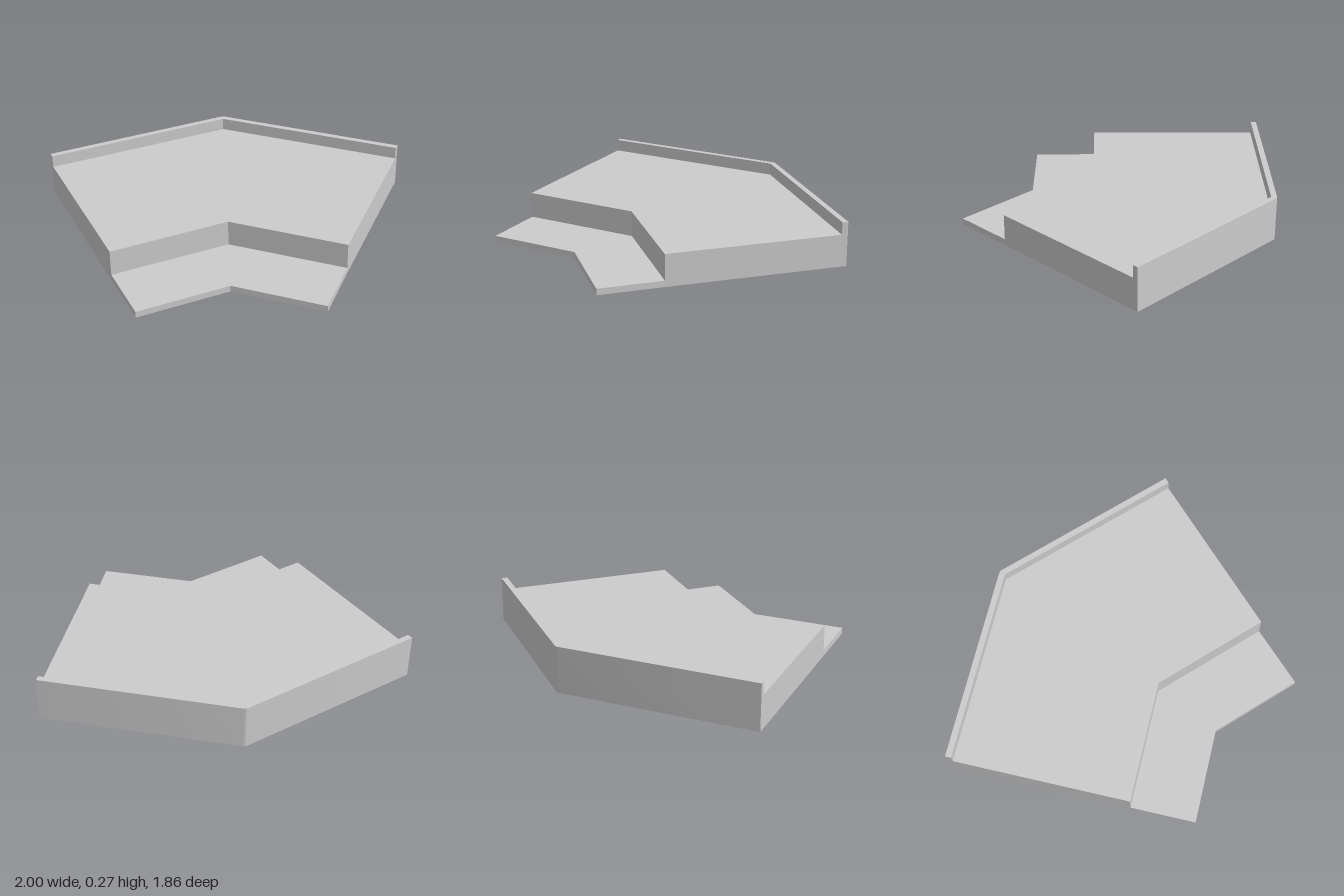
import * as THREE from 'three';
import { toCreasedNormals } from 'three/addons/utils/BufferGeometryUtils.js';

const ARC = 6; // segments in the rounded back corner

// A rail is a bent line in plan: [x, z] at the left end, around the corner, at the right end
function rail(left, corner, right, radius = 0) {
  const points = [left];
  for (let i = 0; i <= ARC; i++) {
    const a = (i / ARC) * Math.PI / 4;
    points.push([corner[0] + radius * Math.sin(a), corner[1] - radius * Math.cos(a)]);
  }
  points.push(right);
  return points;
}

const back = rail([-1, -0.932], [0.155, -0.897], [1, -0.102], 0.035);
const curbFront = rail([-1, -0.897], [0.155, -0.897], [0.974, -0.078]);
const deckFront = rail([-1, 0.145], [-0.277, 0.145], [0.234, 0.656]);
const stepFront = rail([-1, 0.53], [-0.437, 0.53], [-0.037, 0.93]);

export function createModel() {
  const group = new THREE.Group();
  const material = new THREE.MeshStandardMaterial({ color: 0xcccccc });

  // One level between two rails: top, underside, front riser and both ends
  function addLevel(name, rear, front, height, nextHeight, hasBackWall) {
    const positions = [];
    const triangle = (a, b, c) => {
      if (a.equals(b) || b.equals(c) || c.equals(a)) return;
      for (const p of [a, b, c]) positions.push(p.x, p.y, p.z);
    };
    const quad = (a, b, c, d) => { triangle(a, b, c); triangle(a, c, d); };
    const at = (line, i, y) => new THREE.Vector3(line[i][0], y, line[i][1]);
    const strip = (a, ya, b, yb) => {
      for (let i = 0; i < a.length - 1; i++) {
        quad(at(a, i, ya), at(b, i, yb), at(b, i + 1, yb), at(a, i + 1, ya));
      }
    };
    const section = i => [at(rear, i, 0), at(rear, i, height), at(front, i, height), at(front, i, 0)];

    strip(rear, height, front, height);
    strip(front, height, front, nextHeight);
    strip(front, 0, rear, 0);
    if (hasBackWall) strip(rear, 0, rear, height);
    quad(...section(0).reverse());
    quad(...section(rear.length - 1));

    const geometry = new THREE.BufferGeometry();
    geometry.setAttribute('position', new THREE.Float32BufferAttribute(positions, 3));
    const mesh = new THREE.Mesh(toCreasedNormals(geometry, 0.3), material);
    mesh.name = name;
    group.add(mesh);
  }

  addLevel('backCurb', back, curbFront, 0.27, 0.195, true);
  addLevel('deck', curbFront, deckFront, 0.195, 0.038, false);
  addLevel('frontStep', deckFront, stepFront, 0.038, 0, false);
  return group;
}
